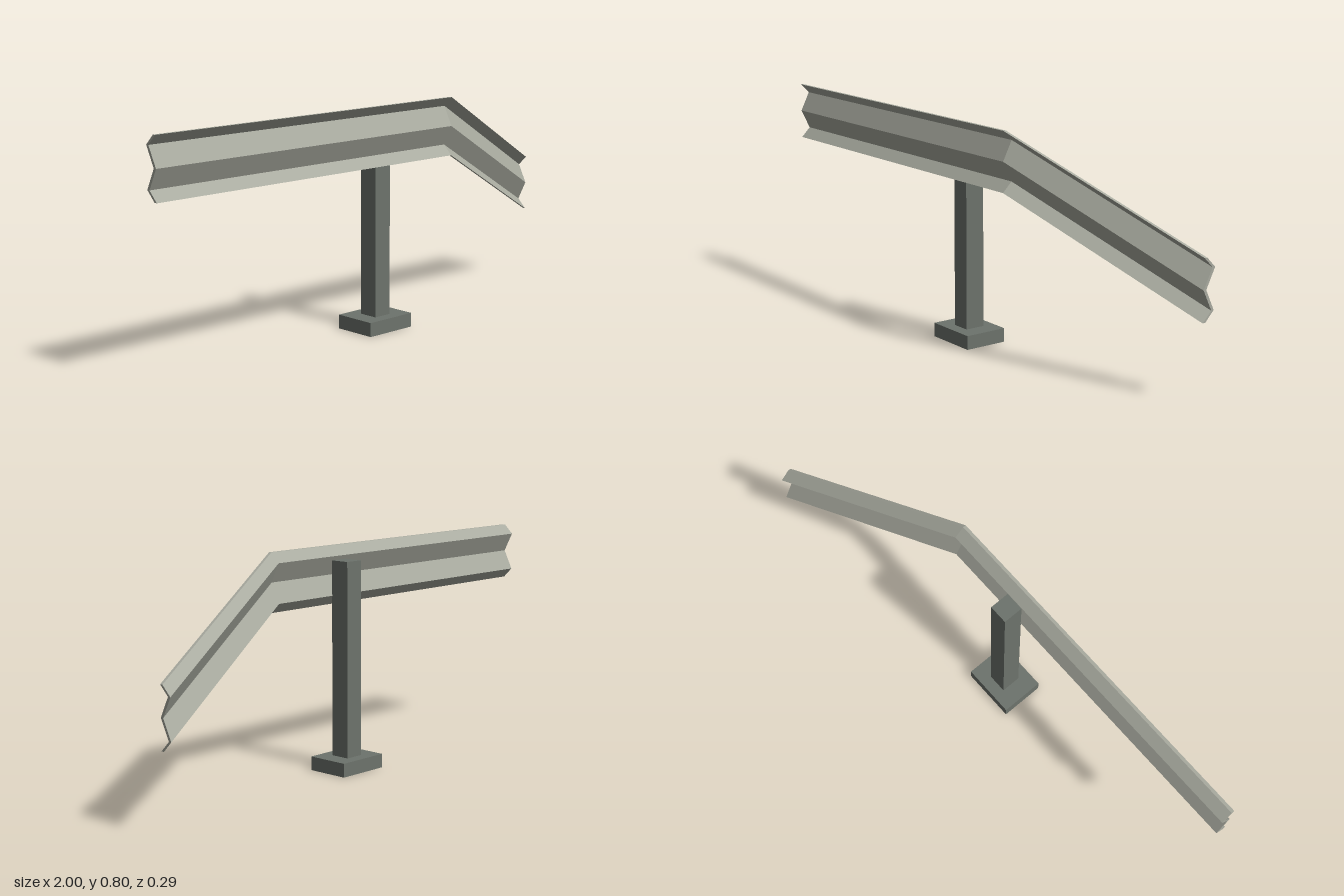
import * as THREE from 'three';

const railSteel = new THREE.MeshStandardMaterial({ color: 0xa9aba0 });
railSteel.name = 'pale rail steel';
const postSteel = new THREE.MeshStandardMaterial({ color: 0x6d736c });
postSteel.name = 'dark post steel';

// Corrugated rail: one folded section swept along a bent path
function railGeometry() {
  const thickness = 0.011;
  const front = [[0.8, 0.144], [0.766, 0.109], [0.697, 0.144], [0.627, 0.109], [0.592, 0.144]];
  const back = front.map(([y, z]) => [y, z - thickness]).reverse();
  const section = [...front, ...back];
  const n = section.length;
  // Path stations: x, drop in y, shift in z
  const stations = [[-1, 0, 0], [0.3, 0, 0], [1, -0.321, -0.242]];
  const rings = stations.map(([x, dy, dz]) => section.map(([y, z]) => [x, y + dy, z + dz]));

  const positions = [];
  const quad = (a, b, c, d) => positions.push(...a, ...b, ...c, ...a, ...c, ...d);
  for (let s = 0; s < rings.length - 1; s++) {
    for (let i = 0; i < n; i++) {
      const j = (i + 1) % n;
      quad(rings[s][i], rings[s][j], rings[s + 1][j], rings[s + 1][i]);
    }
  }
  // End caps, one quad per fold
  const left = rings[0], right = rings[rings.length - 1];
  for (let i = 0; i < front.length - 1; i++) {
    const b0 = n - 1 - i, b1 = n - 2 - i;
    quad(right[i], right[i + 1], right[b1], right[b0]);
    quad(left[i], left[b0], left[b1], left[i + 1]);
  }
  const geometry = new THREE.BufferGeometry();
  geometry.setAttribute('position', new THREE.Float32BufferAttribute(positions, 3));
  geometry.computeVertexNormals();
  return geometry;
}

function box(name, size, position) {
  const mesh = new THREE.Mesh(new THREE.BoxGeometry(...size), postSteel);
  mesh.name = name;
  mesh.position.set(...position);
  return mesh;
}

export function createModel() {
  const group = new THREE.Group();
  group.name = 'guardRail';

  const rail = new THREE.Mesh(railGeometry(), railSteel);
  rail.name = 'rail';
  group.add(rail);

  // Post standing on its foot plate
  group.add(box('post', [0.07, 0.702, 0.073], [0, 0.401, 0.0645]));
  group.add(box('footPlate', [0.2, 0.05, 0.16], [0, 0.025, 0.0645]));
  return group;
}
